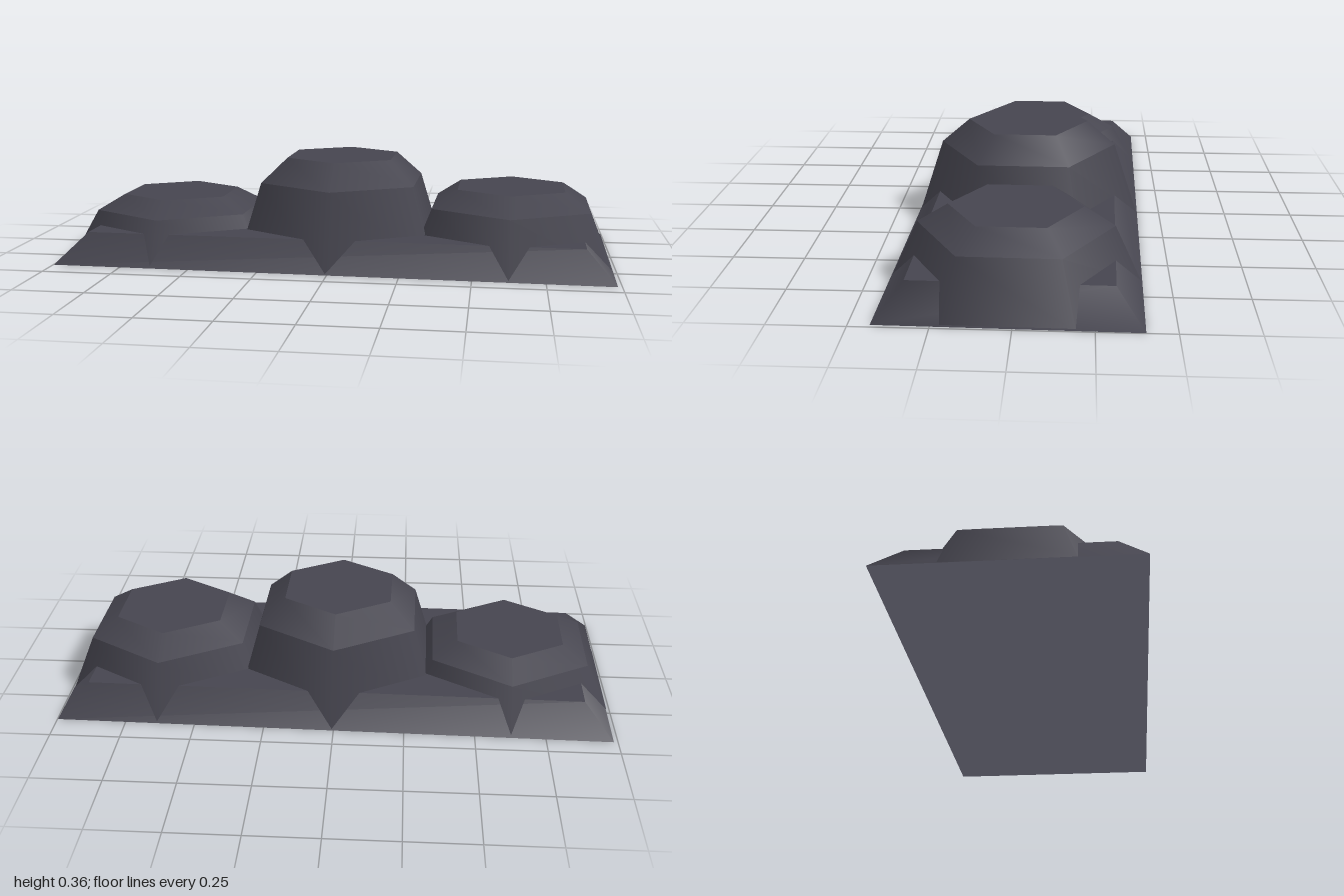
import * as THREE from 'three';

export function createModel() {
  const model = new THREE.Group();
  model.name = 'hexMoundSlab';
  const stone = new THREE.MeshStandardMaterial({ color: 0x46454f });
  stone.name = 'dark slate';
  const pale = new THREE.MeshStandardMaterial({ color: 0x878698 });
  pale.name = 'pale slate';

  function addPart(name, geometry, material) {
    const mesh = new THREE.Mesh(geometry, material);
    mesh.name = name;
    model.add(mesh);
    return mesh;
  }

  // Slab: a sloping rim shaded smoothly round the corners, a flat top and an underside
  const height = 0.105;
  const corners = [[-1, 1], [1, 1], [1, -1], [-1, -1]];
  const ring = (w, y, d) => corners.flatMap(([sx, sz]) => [sx * w, y, sz * d]);
  const rimPoints = [...ring(0.992, 0, 0.417), ...ring(0.892, height, 0.327)];
  const rimFaces = [];
  for (let i = 0; i < 4; i++) {
    const j = (i + 1) % 4;
    rimFaces.push(i, j, j + 4, i, j + 4, i + 4);
  }
  const rim = new THREE.BufferGeometry();
  rim.setAttribute('position', new THREE.Float32BufferAttribute(rimPoints, 3));
  rim.setIndex(rimFaces);
  rim.computeVertexNormals();
  addPart('baseRim', rim, stone);

  const slabTop = new THREE.PlaneGeometry(1.784, 0.654).rotateX(-Math.PI / 2);
  addPart('baseTop', slabTop.translate(0, height, 0), stone);
  addPart('underside', new THREE.PlaneGeometry(1.984, 0.834).rotateX(Math.PI / 2), pale);

  // Six-sided mound: wall, bevel and flat top, with doubled rings so each band is shaded apart
  function addMound(name, x, shoulder, top) {
    const profile = [
      [0.415, 0], [0.325, shoulder], [0.325, shoulder], [0.222, top], [0.222, top], [0, top],
    ];
    const points = profile.map(([r, y]) => new THREE.Vector2(r, y));
    addPart(name, new THREE.LatheGeometry(points, 6), stone).position.x = x;
  }
  addMound('rightMound', -0.634, 0.155, 0.21);
  addMound('middleMound', 0, 0.275, 0.364);
  addMound('leftMound', 0.63, 0.197, 0.261);

  // The whole piece sits slightly askew
  model.rotation.y = -0.015;
  return model;
}
